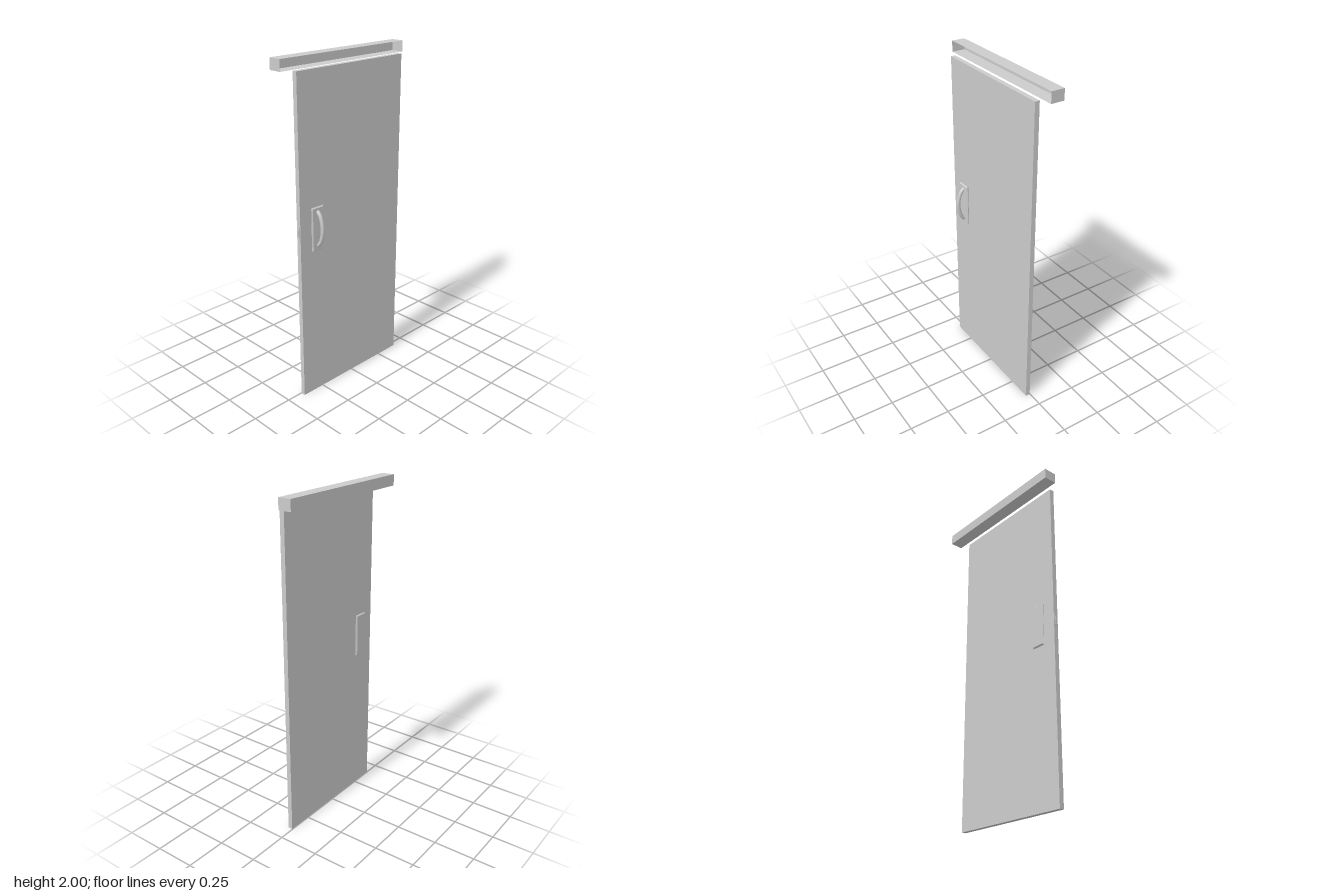
import * as THREE from 'three';

const grey = new THREE.MeshStandardMaterial({ color: 0xcccccc });
const thin = new THREE.MeshStandardMaterial({ color: 0xcccccc, side: THREE.DoubleSide });

function add(parent, name, geometry, x = 0, y = 0, z = 0, material = grey) {
  const mesh = new THREE.Mesh(geometry, material);
  mesh.name = name;
  mesh.position.set(x, y, z);
  parent.add(mesh);
  return mesh;
}

// Rectangular plate with chamfered rim, base at z = 0, face towards +z
function chamferedPlate(w, h, depth, bevel) {
  const a = w / 2 - bevel, b = h / 2 - bevel;
  const shape = new THREE.Shape([
    new THREE.Vector2(-a, -b), new THREE.Vector2(a, -b),
    new THREE.Vector2(a, b), new THREE.Vector2(-a, b),
  ]);
  const g = new THREE.ExtrudeGeometry(shape, {
    depth: depth - 2 * bevel, bevelEnabled: true, bevelSegments: 1,
    bevelSize: bevel, bevelThickness: bevel,
  });
  return g.translate(0, 0, bevel);
}

// Box shell whose +x side is open
function openChannel(w, h, d) {
  const g = new THREE.BoxGeometry(w, h, d);
  g.setIndex(Array.from(g.index.array).slice(6)); // the first six indices are the +x face
  g.clearGroups();
  return g;
}

export function createModel() {
  const model = new THREE.Group();
  model.name = 'slidingDoor';

  // Overhead track housing, open towards the door
  add(model, 'topRail', openChannel(0.079, 0.064, 0.93), -0.0575, 1.968, 0, thin);

  // Door leaf
  const x0 = 0.002, x1 = 0.03;
  add(model, 'doorPanel', new THREE.BoxGeometry(x1 - x0, 1.937, 0.8), (x0 + x1) / 2, 0.9685, -0.001);

  // Backplates on both faces of the leaf
  const hy = 1.052, hz = 0.279;
  for (const side of [1, -1]) {
    const plate = add(model, side > 0 ? 'outerHandlePlate' : 'innerHandlePlate',
      chamferedPlate(0.086, 0.26, 0.014, 0.006), side > 0 ? x1 : x0, hy, hz);
    plate.rotation.y = side * Math.PI / 2;
  }

  // Bowed pull handle
  const bow = new THREE.CatmullRomCurve3([
    [0.038, 0.104], [0.058, 0.085], [0.073, 0.05], [0.08, 0],
    [0.073, -0.05], [0.058, -0.085], [0.038, -0.104],
  ].map(([x, y]) => new THREE.Vector3(x, y, 0)));
  add(model, 'pullHandle', new THREE.TubeGeometry(bow, 40, 0.0115, 16), 0, hy, hz);

  // Latch on the closing edge
  const lx = (x0 + x1) / 2 + 0.001;
  add(model, 'latchPlate', new THREE.BoxGeometry(0.018, 0.066, 0.006), lx, hy + 0.004, 0.399);
  add(model, 'latchBolt', new THREE.BoxGeometry(0.011, 0.034, 0.012), lx, hy + 0.004, 0.4);

  return model;
}
